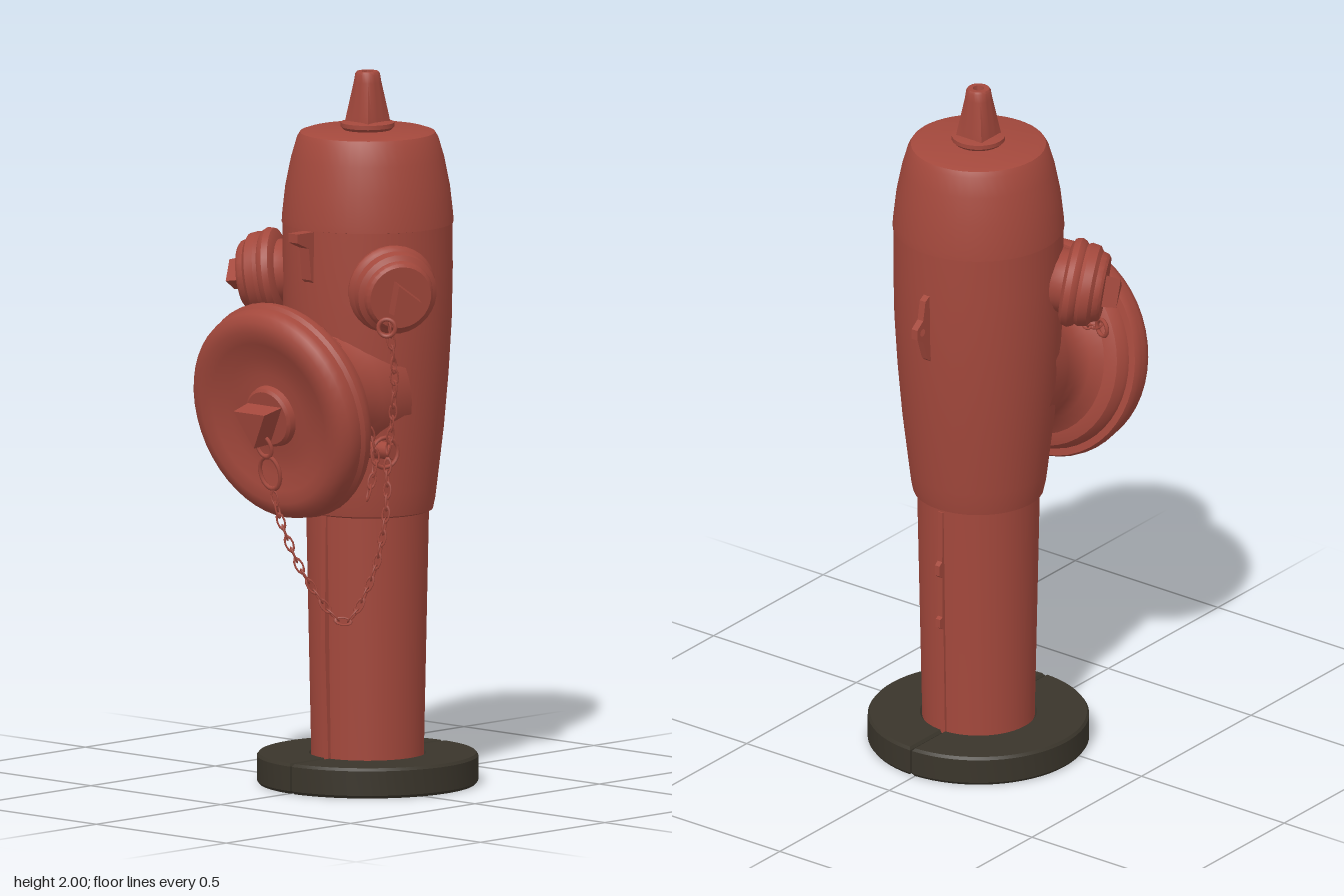
import * as THREE from 'three';
import { toCreasedNormals } from 'three/addons/utils/BufferGeometryUtils.js';

const red = new THREE.MeshStandardMaterial({ color: 0xa3483c });
red.name = 'red paint';
const dark = new THREE.MeshStandardMaterial({ color: 0x3a352b });
dark.name = 'dark base';

const CX = 0.01, CZ = -0.08; // axis of the standing body
const UP = new THREE.Vector3(0, 1, 0);

function mesh(name, geometry, material = red) {
  const m = new THREE.Mesh(geometry, material);
  m.name = name;
  return m;
}

// turned part, profile given as [radius, height] from bottom to top
function turned(name, profile, segments = 40, crease = 0.6) {
  const pts = profile.map(([r, y]) => new THREE.Vector2(r, y));
  return mesh(name, toCreasedNormals(new THREE.LatheGeometry(pts, segments), crease));
}

// flat fin drawn in the (z, y) plane, centred on the body axis
function fin(name, outline, thickness, hole) {
  const shape = new THREE.Shape(outline.map(([z, y]) => new THREE.Vector2(z, y)));
  if (hole) shape.holes.push(new THREE.Path().absarc(hole[0], hole[1], hole[2], 0, Math.PI * 2, true));
  const g = new THREE.ExtrudeGeometry(shape, { depth: thickness, bevelEnabled: false, curveSegments: 8 });
  g.translate(0, 0, -thickness / 2).rotateY(-Math.PI / 2).translate(CX, 0, 0);
  return mesh(name, g);
}

// three-sided wrench nut standing on the cap, along local y
function wrenchNut(name, radius, from, to, spin) {
  const g = new THREE.CylinderGeometry(radius * 0.9, radius, to - from, 3).toNonIndexed();
  g.computeVertexNormals();
  const m = mesh(name, g);
  m.position.y = (from + to) / 2;
  m.rotation.y = spin;
  return m;
}

// half of the split base ring
function baseHalf(side) {
  const gap = 0.006, outer = 0.305, inner = 0.16;
  const a = Math.asin(gap / outer), b = Math.asin(gap / inner), h = Math.PI / 2;
  const s = new THREE.Shape();
  s.absarc(0, 0, outer, -h + a, h - a, false);
  s.absarc(0, 0, inner, h - b, -h + b, true);
  const g = new THREE.ExtrudeGeometry(s, {
    depth: 0.069, bevelSize: 0.006, bevelThickness: 0.008, bevelOffset: -0.003, bevelSegments: 1, curveSegments: 16,
  });
  g.rotateX(-Math.PI / 2);
  const m = mesh(side > 0 ? 'baseRingLeft' : 'baseRingRight', toCreasedNormals(g, 0.5), dark);
  m.position.set(CX, 0.008, CZ);
  m.rotation.y = side > 0 ? 0 : Math.PI;
  return m;
}

// capped hose outlet, side +1 is the model's left
function sideOutlet(side) {
  const g = new THREE.Group();
  g.name = side > 0 ? 'leftOutlet' : 'rightOutlet';
  g.add(turned('outletNeck', [[0.12, 0.13], [0.1, 0.19], [0.09, 0.215], [0.09, 0.25]], 32));
  g.add(turned('outletCap', [
    [0, 0.235], [0.105, 0.235], [0.122, 0.245], [0.126, 0.262], [0.12, 0.275], [0.113, 0.28],
    [0.118, 0.29], [0.114, 0.315], [0.1, 0.325], [0.096, 0.34], [0.088, 0.347], [0, 0.347],
  ], 32));
  g.add(wrenchNut('outletNut', 0.055, 0.34, 0.388, 0.4));
  g.position.set(side > 0 ? 0.0 : -0.005, 1.46, CZ);
  const axis = new THREE.Vector3(side * 0.87, -0.14, 0.49).normalize();
  g.quaternion.setFromUnitVectors(UP, axis);
  return g;
}

// chain of alternating oval links along a smooth path
function chain(name, points, pitch = 0.034) {
  const g = new THREE.Group();
  g.name = name;
  const curve = new THREE.CatmullRomCurve3(points.map((p) => new THREE.Vector3(...p)));
  const link = new THREE.TorusGeometry(0.0105, 0.0028, 5, 10).scale(1, 2.05, 1);
  const n = Math.round(curve.getLength() / pitch);
  for (let i = 0; i < n; i++) {
    const u = (i + 0.5) / n;
    const m = mesh('chainLink', link);
    m.position.copy(curve.getPointAt(u));
    m.quaternion.setFromUnitVectors(UP, curve.getTangentAt(u));
    m.rotateY((i % 2) * Math.PI / 2 + 0.4);
    g.add(m);
  }
  return g;
}

function ring(name, radius, position, rotation, stretch = 1) {
  const m = mesh(name, new THREE.TorusGeometry(radius, 0.006, 6, 20).scale(1, stretch, 1));
  m.position.set(...position);
  m.rotation.set(...rotation);
  return m;
}

export function createModel() {
  const model = new THREE.Group();
  model.name = 'hydrant';
  const onAxis = (m) => { m.position.set(CX, 0, CZ); model.add(m); };

  // base
  model.add(baseHalf(1), baseHalf(-1));

  // barrel, upper body and bonnet
  onAxis(turned('barrel', [[0, 0.03], [0.157, 0.03], [0.157, 0.1], [0.171, 0.78]]));
  onAxis(turned('upperBody', [
    [0.165, 0.765], [0.182, 0.772], [0.188, 0.8], [0.193, 0.84], [0.212, 1.0], [0.225, 1.15],
    [0.234, 1.3], [0.237, 1.45], [0.236, 1.58],
  ]));
  onAxis(turned('bonnet', [
    [0.225, 1.575], [0.239, 1.578], [0.238, 1.6], [0.229, 1.68], [0.213, 1.76], [0.197, 1.815],
    [0.188, 1.83], [0.17, 1.836], [0, 1.838],
  ], 48));
  onAxis(turned('topFlange', [[0.06, 1.83], [0.075, 1.845], [0.075, 1.857], [0.05, 1.862], [0, 1.862]], 24));

  // operating nut: round at the top, square towards the foot
  const nut = turned('operatingNut', [
    [0.048, 1.855], [0.046, 1.88], [0.036, 1.97], [0.034, 1.994], [0.03, 2], [0.016, 2], [0.013, 1.975], [0, 1.975],
  ], 32);
  const p = nut.geometry.attributes.position;
  for (let i = 0; i < p.count; i++) {
    const x = p.getX(i), z = p.getZ(i), r = Math.hypot(x, z);
    if (r < 0.02) continue;
    const square = r / Math.max(Math.abs(x), Math.abs(z)) - 1;
    const k = 1 + square * 0.8 * (2 - p.getY(i)) / 0.145;
    p.setX(i, x * k);
    p.setZ(i, z * k);
  }
  nut.geometry = toCreasedNormals(nut.geometry, 0.6);
  onAxis(nut);

  // lugs and casting seams
  model.add(fin('frontLug', [[0.12, 1.4], [0.165, 1.44], [0.175, 1.53], [0.22, 1.55], [0.22, 1.575], [0.12, 1.575]], 0.036));
  model.add(fin('backLug', [
    [-0.3, 1.24], [-0.325, 1.26], [-0.345, 1.32], [-0.372, 1.335], [-0.372, 1.365], [-0.345, 1.385], [-0.335, 1.44], [-0.3, 1.46],
  ], 0.02, [-0.348, 1.35, 0.011]));
  model.add(fin('frontSeam', [[0.06, 0.05], [0.085, 0.05], [0.1, 0.42], [0.096, 0.78], [0.06, 0.78]], 0.016));
  model.add(fin('backSeam', [
    [-0.22, 0.05], [-0.22, 0.76], [-0.254, 0.76], [-0.256, 0.61], [-0.268, 0.6], [-0.268, 0.57], [-0.255, 0.56],
    [-0.254, 0.44], [-0.265, 0.435], [-0.265, 0.41], [-0.25, 0.4], [-0.243, 0.05],
  ], 0.016));

  // large front outlet, facing slightly down
  const front = new THREE.Group();
  front.name = 'frontOutlet';
  front.add(turned('frontNeck', [[0.225, -0.29], [0.2, -0.2], [0.192, -0.15], [0.205, -0.11], [0.25, -0.075]], 40, 1));
  front.add(turned('frontCap', [
    [0, -0.085], [0.24, -0.085], [0.272, -0.072], [0.284, -0.05], [0.286, -0.035], [0.306, -0.034], [0.311, -0.022],
    [0.311, -0.008], [0.302, 0.002], [0.303, 0.02], [0.297, 0.04], [0.278, 0.057], [0.25, 0.063], [0.215, 0.055],
    [0.17, 0.04], [0.12, 0.036], [0.088, 0.038], [0.084, 0.055], [0.076, 0.062], [0, 0.062],
  ], 48));
  front.add(wrenchNut('frontNut', 0.076, 0.055, 0.128, 0));
  front.position.set(CX, 1.08, 0.265);
  front.quaternion.setFromUnitVectors(UP, new THREE.Vector3(0, -0.19, 0.98).normalize());
  model.add(front);

  // side outlets
  model.add(sideOutlet(1), sideOutlet(-1));

  // chains and their rings
  model.add(chain('frontCapChain', [
    [0.02, 0.86, 0.31], [0.045, 0.77, 0.3], [0.1, 0.62, 0.26], [0.18, 0.5, 0.19], [0.235, 0.62, 0.14],
    [0.262, 0.8, 0.11], [0.25, 0.95, 0.09],
  ]));
  model.add(chain('leftCapChain', [[0.285, 1.34, 0.12], [0.285, 1.2, 0.1], [0.27, 1.08, 0.09], [0.25, 0.97, 0.09]]));
  model.add(chain('rightCapChain', [
    [-0.285, 1.29, 0.1], [-0.22, 1.26, 0.12], [-0.14, 1.29, 0.15], [0.02, 1.32, 0.18], [0.15, 1.27, 0.19],
    [0.23, 1.12, 0.185], [0.25, 0.97, 0.14], [0.25, 0.85, 0.17],
  ]));
  model.add(ring('frontHookLower', 0.038, [0.016, 0.915, 0.318], [0.2, 0, 0], 1.25));
  model.add(ring('frontHookUpper', 0.026, [0.01, 0.99, 0.335], [0.2, 0, 0.3], 1.2));
  model.add(ring('chainAnchor', 0.042, [0.24, 0.97, 0.09], [0, 1.3, 0]));
  model.add(ring('leftCapRing', 0.024, [0.285, 1.33, 0.13], [0, 0.6, 0]));
  model.add(ring('rightCapRing', 0.024, [-0.285, 1.28, 0.1], [0, -0.3, 0]));

  // lug on the body that holds the chain anchor
  const lug = mesh('chainLug', new THREE.CylinderGeometry(0.022, 0.03, 0.13, 12).rotateZ(-Math.PI / 2));
  lug.position.set(0.18, 0.97, 0.06);
  model.add(lug);
  return model;
}
